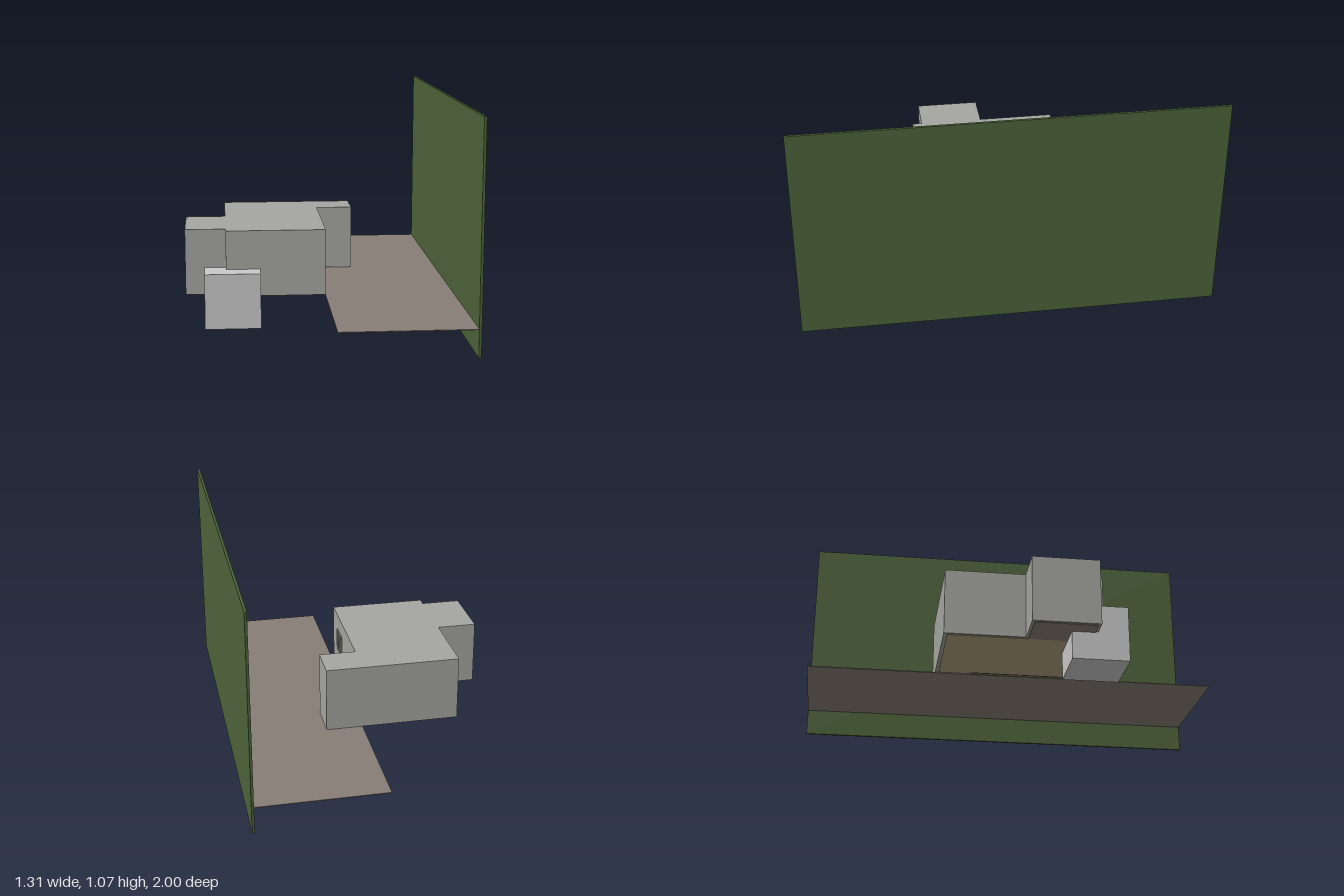
import * as THREE from 'three';

const material = (name, color) => {
  const m = new THREE.MeshStandardMaterial({ color });
  m.name = name;
  return m;
};

export function createModel() {
  const group = new THREE.Group();
  const plaster = material('plaster grey', 0xa6a6a1);
  const paleGrey = material('pale grey', 0xc9c9c9);
  const hedgeGreen = material('hedge green', 0x4d6339);
  const paving = material('paving brown', 0x887e77);
  const floorTan = material('floor tan', 0xb0a37f);
  const glass = material('window glass', 0x6f7475);

  const add = (name, geometry, mat) => {
    const mesh = new THREE.Mesh(geometry, mat);
    mesh.name = name;
    group.add(mesh);
    return mesh;
  };
  // Box given by its lower and upper limits on each axis
  const box = (name, mat, [x0, x1], [y0, y1], [z0, z1]) => {
    const mesh = add(name, new THREE.BoxGeometry(x1 - x0, y1 - y0, z1 - z0), mat);
    mesh.position.set((x0 + x1) / 2, (y0 + y1) / 2, (z0 + z1) / 2);
  };
  // Upright prism over a plan outline of [x, z] points
  const prism = (name, mat, plan, y0, y1) => {
    const shape = new THREE.Shape(plan.map(([x, z]) => new THREE.Vector2(x, -z)));
    const geometry = new THREE.ExtrudeGeometry(shape, { depth: y1 - y0, bevelEnabled: false });
    geometry.rotateX(-Math.PI / 2);
    geometry.translate(0, y0, 0);
    add(name, geometry, mat);
  };

  // Tall boundary screen and the paved strip beside it
  box('boundaryScreen', hedgeGreen, [0.64, 0.652], [0, 1.067], [-1, 1]);
  box('pavedStrip', paving, [0.018, 0.64], [0.128, 0.132], [-1, 1]);

  // House block with a rear wing and a side bay
  prism('houseBlock', plaster, [
    [-0.46, 0.365], [0.018, 0.365], [0.018, -0.197], [0.198, -0.197], [0.198, -0.38],
    [-0.46, -0.38], [-0.46, 0], [-0.654, 0], [-0.654, 0.317], [-0.46, 0.317],
  ], 0.135, 0.455);

  // Floor slabs set in a little under the walls
  prism('mainFloor', floorTan, [
    [-0.448, 0.353], [0.006, 0.353], [0.006, -0.209], [0.186, -0.209],
    [0.186, -0.364], [-0.448, -0.364],
  ], 0.132, 0.136);
  box('bayFloor', paving, [-0.642, -0.448], [0.132, 0.136], [0.012, 0.305]);

  // Low block at the front corner
  box('frontBlock', paleGrey, [-0.562, -0.296], [0, 0.267], [0.195, 0.461]);

  // Window on the side facing the screen
  box('windowPane', glass, [0.018, 0.02], [0.27, 0.38], [0.14, 0.25]);
  for (const z of [0.14, 0.191, 0.242]) {
    box('windowUpright', plaster, [0.018, 0.024], [0.27, 0.38], [z, z + 0.008]);
  }
  for (const y of [0.27, 0.372]) {
    box('windowRail', plaster, [0.018, 0.024], [y, y + 0.008], [0.14, 0.25]);
  }

  return group;
}
